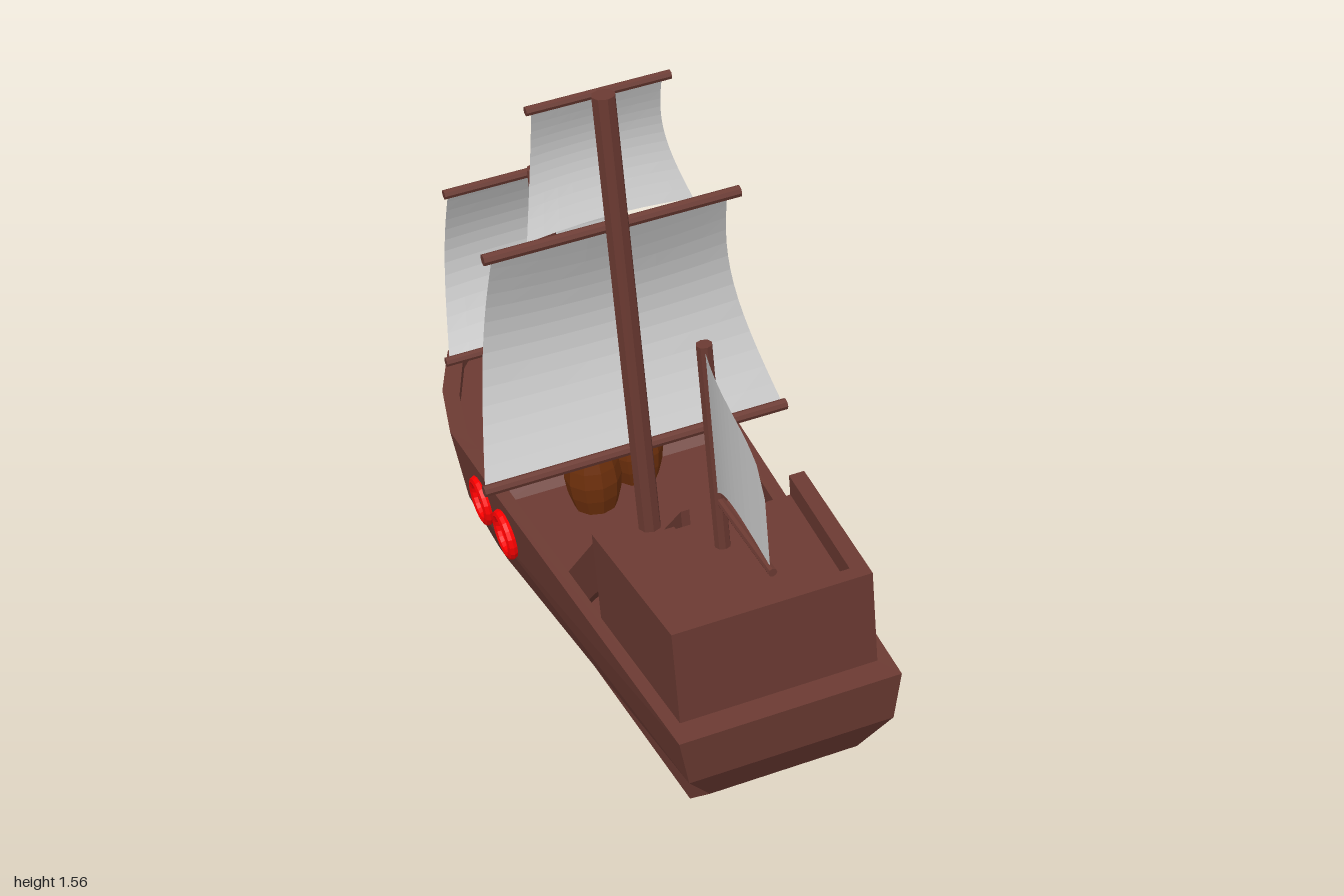
import * as THREE from 'three';

const mat = (color, side = THREE.FrontSide) =>
  new THREE.MeshStandardMaterial({ color, side, flatShading: true });
const wood = mat(0x6b3a32), barrelWood = mat(0x6e300c), red = mat(0xff0000);
const cloth = mat(0xcccccc, THREE.DoubleSide);

export function createModel() {
  const model = new THREE.Group();
  const ship = new THREE.Group();
  ship.name = 'ship';
  // The whole ship heels slightly to one side
  ship.rotation.z = 0.09;
  ship.position.set(0.037, 0.003, 0);
  model.add(ship);

  const add = (name, geometry, material = wood) => {
    const mesh = new THREE.Mesh(geometry, material);
    mesh.name = name;
    ship.add(mesh);
    return mesh;
  };

  // Straight round pole between two points
  const rod = (name, a, b, r, sides = 8) => {
    const p = new THREE.Vector3(...a), q = new THREE.Vector3(...b);
    const mesh = add(name, new THREE.CylinderGeometry(r, r, p.distanceTo(q), sides));
    mesh.position.copy(p).lerp(q, 0.5);
    mesh.quaternion.setFromUnitVectors(new THREE.Vector3(0, 1, 0), q.sub(p).normalize());
  };

  // Vertical prism from a plan outline of [x, z] points
  const prism = (name, pts, y0, y1) => {
    const shape = new THREE.Shape(pts.map(([x, z]) => new THREE.Vector2(x, -z)));
    const g = new THREE.ExtrudeGeometry(shape, { depth: y1 - y0, bevelEnabled: false });
    add(name, g.rotateX(-Math.PI / 2).translate(0, y0, 0));
  };

  // Hull: outlines from keel to rail, then rail inside edge and deck
  const levels = [
    { z: [0.8, -0.05, -0.12, -0.2, -0.45, -0.59, -0.67, -0.7],
      w: [0.2, 0.228, 0.232, 0.235, 0.19, 0.12, 0.06, 0],
      y: [0.055, 0.026, 0.023, 0.02, 0.035, 0.045, 0.045, 0.045] },
    { z: [0.92, -0.13, -0.21, -0.28, -0.52, -0.69, -0.82, -0.86],
      w: [0.19, 0.295, 0.3, 0.303, 0.26, 0.185, 0.09, 0],
      y: [0.16, 0.135, 0.13, 0.13, 0.13, 0.13, 0.13, 0.13] },
    { z: [0.985, -0.19, -0.28, -0.37, -0.58, -0.76, -0.9, -0.95],
      w: [0.26, 0.332, 0.338, 0.342, 0.3, 0.225, 0.112, 0],
      y: [0.27, 0.25, 0.25, 0.25, 0.25, 0.25, 0.25, 0.25] },
    { z: [1, -0.23, -0.34, -0.43, -0.62, -0.79, -0.94, -1],
      w: [0.28, 0.345, 0.35, 0.354, 0.312, 0.24, 0.12, 0],
      y: [0.405, 0.422, 0.425, 0.426, 0.43, 0.435, 0.435, 0.435] },
  ];
  const rail = levels[3];
  const inner = { z: rail.z.map(z => z * 0.93), w: rail.w.map(w => w * 0.89), y: rail.y };
  levels.push(inner, { ...inner, y: rail.y.map((_, i) => (i < 2 ? 0.31 : 0.405)) });

  const pos = [];
  const P = (i, j, s) => [s * levels[j].w[i], levels[j].y[i], levels[j].z[i]];
  const quad = (a, b, c, d) => pos.push(...a, ...b, ...c, ...a, ...c, ...d);
  const last = levels.length - 1;
  for (let i = 0; i < 7; i++) {
    for (let j = 0; j < last; j++) {
      quad(P(i, j, 1), P(i + 1, j, 1), P(i + 1, j + 1, 1), P(i, j + 1, 1));
      quad(P(i, j + 1, -1), P(i + 1, j + 1, -1), P(i + 1, j, -1), P(i, j, -1));
    }
    quad(P(i, last, -1), P(i, last, 1), P(i + 1, last, 1), P(i + 1, last, -1));
    quad(P(i + 1, 0, -1), P(i + 1, 0, 1), P(i, 0, 1), P(i, 0, -1));
  }
  for (let j = 0; j < last; j++) quad(P(0, j, -1), P(0, j, 1), P(0, j + 1, 1), P(0, j + 1, -1));
  const hull = new THREE.BufferGeometry();
  hull.setAttribute('position', new THREE.Float32BufferAttribute(pos, 3));
  hull.computeVertexNormals();
  add('hull', hull);

  // Raised stern cabin with a parapet open towards the stairs
  prism('sternCabin', [[-0.275, 0.485], [-0.25, 0.93], [0.25, 0.93], [0.275, 0.485]], 0.3, 0.605);
  prism('cabinParapet', [[-0.275, 0.485], [-0.25, 0.93], [0.25, 0.93], [0.275, 0.485],
    [0.235, 0.485], [0.21, 0.89], [-0.21, 0.89], [-0.235, 0.485]], 0.605, 0.662);

  // Stairs: two sloping side boards and treads
  const board = new THREE.Shape([[0.485, 0.65], [0.18, 0.335], [0.18, 0.31], [0.29, 0.31], [0.485, 0.505]]
    .map(([z, y]) => new THREE.Vector2(-z, y)));
  for (const x of [-0.258, -0.048]) {
    const g = new THREE.ExtrudeGeometry(board, { depth: 0.022, bevelEnabled: false });
    add('stairSide', g.rotateY(Math.PI / 2).translate(x, 0, 0));
  }
  for (let i = 0; i < 5; i++) {
    add('stairTread', new THREE.BoxGeometry(0.2, 0.015, 0.055))
      .position.set(-0.142, 0.34 + i * 0.055, 0.245 + i * 0.052);
  }

  // Masts
  const cx = 0.011;
  rod('mainMast', [cx, 0.3, 0.058], [cx, 1.552, 0.034], 0.03);
  rod('foreMast', [cx, 0.39, -0.565], [cx, 1.05, -0.575], 0.029);
  rod('sternMast', [cx, 0.59, 0.596], [cx, 1.167, 0.585], 0.02);

  // Yards: half length, height, z, radius
  for (const [h, y, z, r] of [[0.184, 1.54, -0.002, 0.012], [0.335, 1.18, 0.006, 0.015],
    [0.412, 0.533, 0.02, 0.015], [0.25, 1.025, -0.606, 0.013], [0.308, 0.53, -0.597, 0.013]]) {
    rod('yard', [cx - h, y, z], [cx + h, y, z], r);
  }
  rod('boom', [cx, 0.74, 0.59], [cx, 0.737, 0.915], 0.011);

  // Sails as grids over (u, v)
  const sheet = (name, nu, nv, f) => {
    const g = new THREE.PlaneGeometry(1, 1, nu, nv), a = g.attributes.position;
    for (let i = 0; i < a.count; i++) a.setXYZ(i, ...f(a.getX(i) + 0.5, a.getY(i) + 0.5));
    g.computeVertexNormals();
    add(name, g, cloth);
  };
  // Square sail: belly towards the bow, waisted sides, curved top and foot
  const squareSail = (name, wTop, wFoot, yTop, yFoot, zTop, zFoot, belly, sag, rise) =>
    sheet(name, 10, 14, (u, v) => {
      const s = 2 * u - 1, arch = 1 - s * s, swell = Math.sin(Math.PI * v);
      const w = THREE.MathUtils.lerp(wFoot, wTop, v) - 0.018 * swell;
      return [cx + s * w,
        THREE.MathUtils.lerp(yFoot + rise * arch, yTop - sag * arch, v),
        THREE.MathUtils.lerp(zFoot, zTop, v) - belly * swell];
    });
  squareSail('topSail', 0.166, 0.217, 1.538, 1.187, -0.01, -0.005, 0.045, 0, 0.015);
  squareSail('mainSail', 0.307, 0.405, 1.175, 0.535, -0.008, 0.008, 0.095, 0.02, 0);
  squareSail('foreSail', 0.235, 0.295, 1.02, 0.51, -0.618, -0.61, 0.09, 0, 0.015);
  // Fore-and-aft stern sail
  sheet('sternSail', 14, 8, (u, v) => {
    const foot = 0.745 + 0.078 * Math.sin(Math.PI * u);
    const head = 0.93 + 0.225 * Math.sqrt(Math.max(0, 1 - u * u));
    return [cx - 0.022 * Math.sin(Math.PI * u), foot + (head - foot) * v, 0.58 + 0.32 * u];
  });

  // Barrels on the main deck
  const barrel = [[0, 0], [0.056, 0], [0.07, 0.05], [0.075, 0.093], [0.07, 0.137], [0.058, 0.187],
    [0.05, 0.187], [0.048, 0.177], [0, 0.177]].map(p => new THREE.Vector2(...p));
  for (const [x, z] of [[0.068, -0.175], [-0.075, -0.105]]) {
    add('barrel', new THREE.LatheGeometry(barrel, 10), barrelWood).position.set(x, 0.305, z);
  }

  // Life rings hung on one side
  for (const [x, z] of [[-0.343, -0.24], [-0.337, -0.07]]) {
    const ring = add('lifeRing', new THREE.TorusGeometry(0.055, 0.014, 8, 18), red);
    ring.position.set(x, 0.32, z);
    ring.rotation.set(0, Math.PI / 2, 0.06, 'ZYX');
  }
  return model;
}
